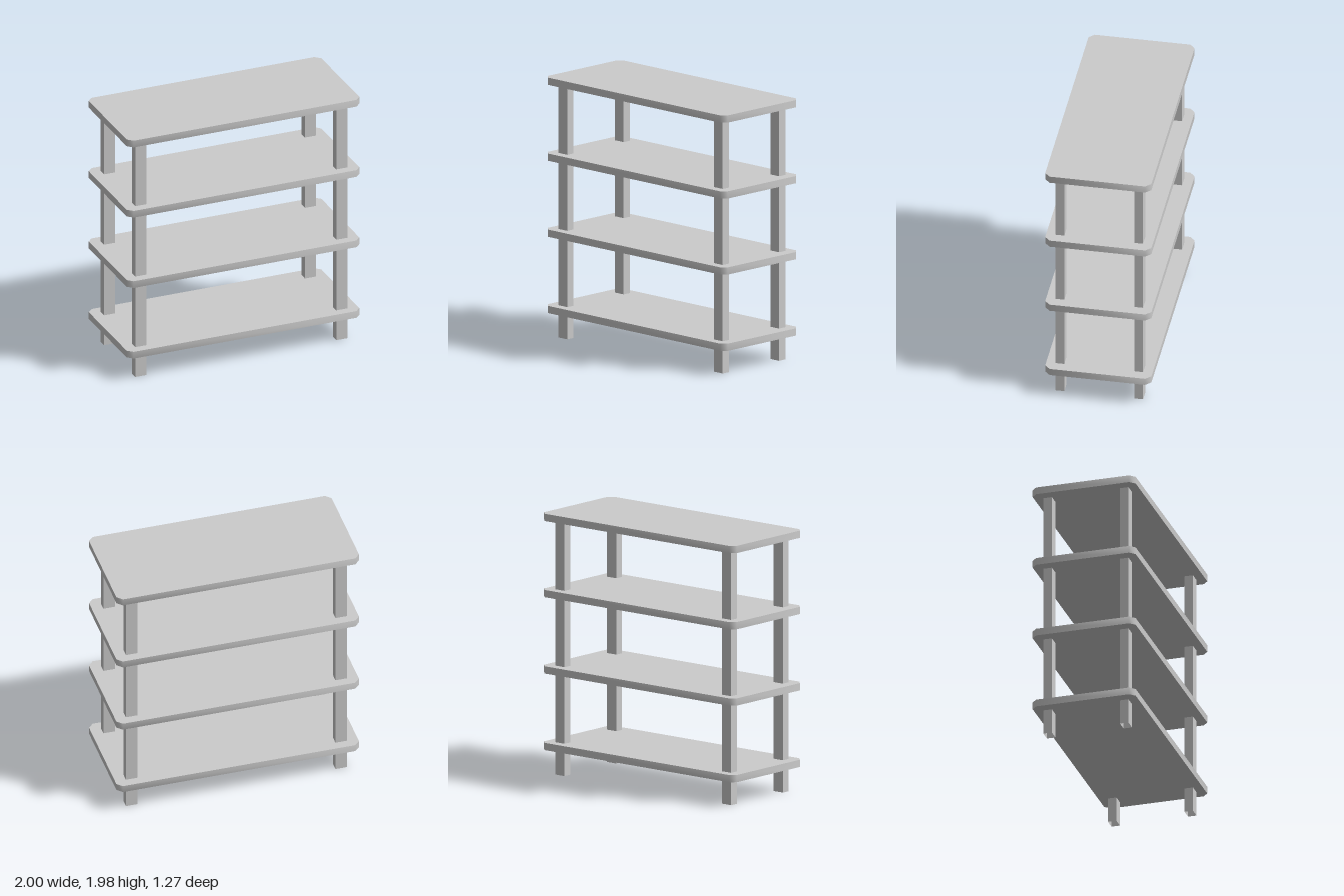
import * as THREE from 'three';
import { toCreasedNormals } from 'three/addons/utils/BufferGeometryUtils.js';

const HALF_L = 0.937, HALF_D = 0.4, CUT = 0.04, THICK = 0.055;
const SHELF_BOTTOMS = [0.19, 0.77, 1.348, 1.925];

// Board with clipped corners, lying flat with its underside at y = 0
function boardGeometry() {
  const outline = [
    [HALF_L - CUT, -HALF_D], [HALF_L, -HALF_D + CUT],
    [HALF_L, HALF_D - CUT], [HALF_L - CUT, HALF_D],
    [-HALF_L + CUT, HALF_D], [-HALF_L, HALF_D - CUT],
    [-HALF_L, -HALF_D + CUT], [-HALF_L + CUT, -HALF_D],
  ].map(([x, y]) => new THREE.Vector2(x, y));
  const geo = new THREE.ExtrudeGeometry(new THREE.Shape(outline), { depth: THICK, bevelEnabled: false });
  geo.rotateX(-Math.PI / 2);
  return toCreasedNormals(geo, THREE.MathUtils.degToRad(50));
}

// Hollow rectangular post, open at the ends, standing on y = 0
function postGeometry(width, depth, height) {
  const geo = new THREE.CylinderGeometry(Math.SQRT1_2, Math.SQRT1_2, height, 4, 1, true);
  geo.rotateY(Math.PI / 4);
  geo.scale(width, 1, depth);
  geo.translate(0, height / 2, 0);
  return geo;
}

export function createModel() {
  const model = new THREE.Group();
  model.name = 'shelfUnit';
  const boardMaterial = new THREE.MeshStandardMaterial({ color: 0xcccccc });
  const postMaterial = new THREE.MeshStandardMaterial({
    color: 0xcccccc, flatShading: true, side: THREE.DoubleSide,
  });

  // Four shelves
  const board = boardGeometry();
  SHELF_BOTTOMS.forEach((y, i) => {
    const shelf = new THREE.Mesh(board, boardMaterial);
    shelf.name = `shelf${i + 1}`;
    shelf.position.y = y;
    model.add(shelf);
  });

  // Four corner posts, running up to the top shelf
  const post = postGeometry(0.09, 0.066, SHELF_BOTTOMS[3]);
  for (const [sx, side] of [[1, 'Left'], [-1, 'Right']]) {
    for (const [sz, end] of [[1, 'front'], [-1, 'back']]) {
      const leg = new THREE.Mesh(post, postMaterial);
      leg.name = `${end}${side}Post`;
      leg.position.set(sx * 0.809, 0, sz * 0.297);
      model.add(leg);
    }
  }

  // The whole unit stands turned on the floor
  model.rotation.y = THREE.MathUtils.degToRad(16.15);
  return model;
}
